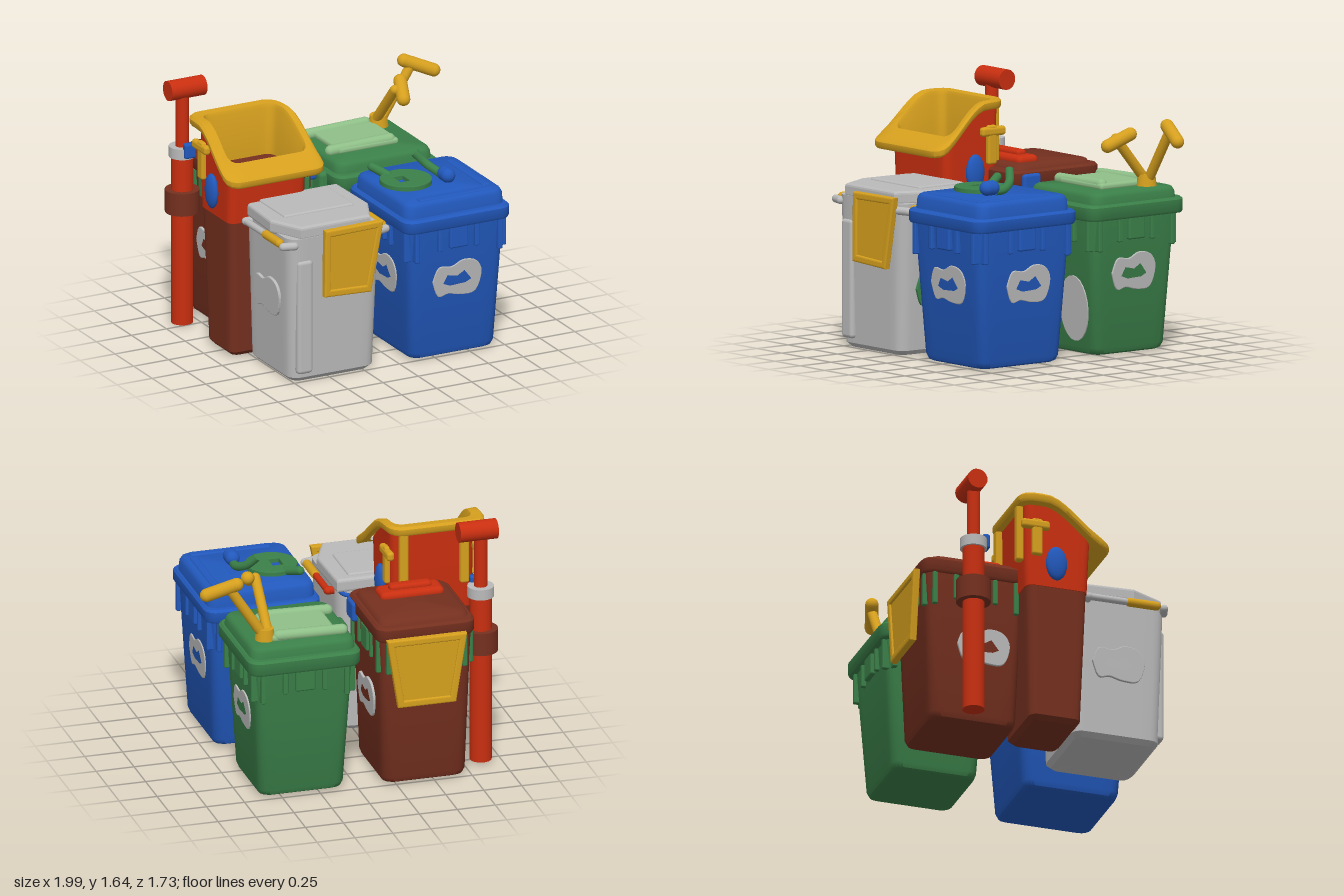
import * as THREE from 'three';
import { toCreasedNormals } from 'three/addons/utils/BufferGeometryUtils.js';
import { RoundedBoxGeometry } from 'three/addons/geometries/RoundedBoxGeometry.js';

const colours = {
  blue: 0x2259bd, green: 0x3b8049, paleGreen: 0x8fbf88, brown: 0x75301f,
  red: 0xc92f10, yellow: 0xd6a01e, grey: 0xbababa,
};

export function createModel() {
  const model = new THREE.Group();
  const mats = {};
  for (const [name, color] of Object.entries(colours)) {
    mats[name] = new THREE.MeshStandardMaterial({ color });
    mats[name].name = name;
  }
  const add = (name, geo, mat, x = 0, y = 0, z = 0, parent = model) => {
    const m = new THREE.Mesh(geo, mats[mat]);
    m.name = name;
    m.position.set(x, y, z);
    parent.add(m);
    return m;
  };
  const box = (name, mat, [x0, x1], [y0, y1], [z0, z1], r = 0.012, parent = model) =>
    add(name, new RoundedBoxGeometry(x1 - x0, y1 - y0, z1 - z0, 2, r), mat,
      (x0 + x1) / 2, (y0 + y1) / 2, (z0 + z1) / 2, parent);
  const V = (p) => new THREE.Vector3(...p);
  // round-ended rod between two points
  const rod = (name, mat, a, b, r) => {
    const A = V(a), B = V(b), d = B.clone().sub(A);
    const m = add(name, new THREE.CapsuleGeometry(r, d.length(), 6, 16), mat);
    m.position.copy(A).add(B).multiplyScalar(0.5);
    m.quaternion.setFromUnitVectors(new THREE.Vector3(0, 1, 0), d.normalize());
    return m;
  };
  const tube = (name, mat, pts, r) =>
    add(name, new THREE.TubeGeometry(new THREE.CatmullRomCurve3(pts.map(V)), 16, r, 10), mat);

  // outline of a rounded rectangle in x and z, with points along the sides
  const outline = (w, d, r) => {
    const pts = [];
    const corners = [[1, 1], [-1, 1], [-1, -1], [1, -1]];
    corners.forEach(([sx, sz], c) => {
      const ox = sx * (w / 2 - r), oz = sz * (d / 2 - r);
      for (let i = 0; i <= 4; i++) {
        const a = (c + i / 4) * Math.PI / 2;
        pts.push([ox + r * Math.cos(a), oz + r * Math.sin(a)]);
      }
      const [nx, nz] = corners[(c + 1) % 4], a = (c + 1) * Math.PI / 2, p = pts[pts.length - 1];
      const q = [nx * (w / 2 - r) + r * Math.cos(a), nz * (d / 2 - r) + r * Math.sin(a)];
      for (let i = 1; i < 8; i++) pts.push([p[0] + (q[0] - p[0]) * i / 8, p[1] + (q[1] - p[1]) * i / 8]);
    });
    return pts;
  };
  // skin over rings [y or y(z), width, depth, radius, centre x, centre z]
  const loft = (rings, { bottom = true, top = true, skew = 0 } = {}) => {
    const pos = [], idx = [];
    rings.forEach(([y, w, d, r, cx, cz]) => {
      for (const [px, pz] of outline(w, d, r)) {
        const z = cz + pz;
        pos.push(cx + px + skew * pz * (px / w + 0.5), typeof y === 'function' ? y(z) : y, z);
      }
    });
    const n = pos.length / 3 / rings.length;
    for (let k = 0; k < rings.length - 1; k++) for (let i = 0; i < n; i++) {
      const a = k * n + i, b = k * n + (i + 1) % n;
      idx.push(a, a + n, b, b, a + n, b + n);
    }
    const cap = (k, up) => {
      const c = pos.length / 3, [y, , , , cx, cz] = rings[k];
      pos.push(cx, typeof y === 'function' ? y(cz) : y, cz);
      for (let i = 0; i < n; i++) {
        const a = k * n + i, b = k * n + (i + 1) % n;
        if (up) idx.push(c, b, a); else idx.push(c, a, b);
      }
    };
    if (bottom) cap(0, false);
    if (top) cap(rings.length - 1, true);
    const g = new THREE.BufferGeometry();
    g.setAttribute('position', new THREE.Float32BufferAttribute(pos, 3));
    g.setIndex(idx);
    return toCreasedNormals(g, 0.7);
  };

  // tapering bin body, collar and lid; b = bottom, t = top, l = collar sizes
  const bin = (name, mat, cx, cz, b, t, l, y0, y1, y2) => {
    const [bw, bd] = b, [tw, td] = t, [lw, ld] = l;
    add(name + 'Body', loft([[0.01, bw - 0.07, bd - 0.07, 0.05, cx, cz], [0.022, bw - 0.025, bd - 0.025, 0.06, cx, cz],
      [0.055, bw, bd, 0.06, cx, cz], [y0 + 0.02, tw, td, 0.06, cx, cz]]), mat);
    add(name + 'Collar', loft([[y0, lw - 0.02, ld - 0.02, 0.07, cx, cz], [y0 + 0.015, lw, ld, 0.08, cx, cz],
      [y1 - 0.015, lw, ld, 0.08, cx, cz], [y1, lw - 0.03, ld - 0.03, 0.07, cx, cz]]), mat);
    add(name + 'Lid', loft([[y1 - 0.01, lw - 0.05, ld - 0.09, 0.07, cx, cz], [y2 - 0.03, lw - 0.06, ld - 0.1, 0.07, cx, cz],
      [y2 - 0.008, lw - 0.08, ld - 0.12, 0.07, cx, cz], [y2, lw - 0.11, ld - 0.15, 0.06, cx, cz]]), mat);
  };
  // ribs and a grip block under the collar on all four sides
  const ribs = (name, mat, cx, cz, tw, td, y) => {
    for (let s = 0; s < 4; s++) {
      const g = new THREE.Group();
      g.name = name + 'Ribs';
      g.position.set(cx, 0, cz);
      g.rotation.y = s * Math.PI / 2;
      const f = (s % 2 ? tw : td) / 2, h = (s % 2 ? td : tw) / 2;
      for (const x of [-h + 0.05, -0.13, 0.13, h - 0.05]) {
        const low = y - (Math.abs(x) > 0.2 ? 0.2 : 0.15);
        box(name + 'Rib', mat, [x - 0.016, x + 0.016], [low, y + 0.02], [f - 0.04, f + 0.018], 0.008, g);
      }
      box(name + 'Grip', mat, [-0.065, 0.065], [y - 0.14, y + 0.02], [f - 0.04, f + 0.02], 0.012, g);
      model.add(g);
    }
  };
  // looped sorting sign, lying on a side of a bin
  const sign = (mat, x, y, z, turn, lean) => {
    const s = new THREE.Shape(), hole = new THREE.Path();
    const p = [[-0.17, 0.0], [-0.13, 0.09], [-0.04, 0.085], [0.04, 0.12], [0.13, 0.1], [0.17, 0.02],
      [0.13, -0.1], [0.03, -0.11], [-0.06, -0.09], [-0.13, -0.1]].map(([a, b]) => new THREE.Vector2(a, b));
    s.setFromPoints(new THREE.SplineCurve([...p, p[0]]).getPoints(40));
    hole.setFromPoints([[-0.1, -0.02], [-0.07, 0.035], [0.0, 0.02], [0.05, 0.05], [0.1, -0.015], [0.06, -0.035], [-0.05, -0.04]]
      .map(([a, b]) => new THREE.Vector2(a, b)));
    s.holes.push(hole);
    const g = new THREE.ExtrudeGeometry(s, { depth: 0.02, bevelSize: 0.005, bevelThickness: 0.005, bevelSegments: 2 });
    const m = add('sortingSign', g, mat, x, y, z);
    m.rotation.set(lean, turn, 0, 'YXZ');
  };
  const E = Math.PI / 2;

  // blue bin
  bin('blueBin', 'blue', 0.375, 0.45, [0.61, 0.64], [0.69, 0.76], [0.76, 0.82], 0.89, 0.98, 1.075);
  ribs('blueBin', 'blue', 0.375, 0.45, 0.69, 0.76, 0.89);
  sign('grey', 0.38, 0.53, 0.785, 0, 0.065);
  sign('grey', 0.685, 0.53, 0.42, E, 0.045);
  sign('grey', 0.065, 0.53, 0.45, -E, 0.045);
  box('lidRidge', 'blue', [0.13, 0.66], [1.06, 1.084], [0.72, 0.78]);
  box('lidRidge', 'blue', [0.62, 0.675], [1.06, 1.084], [0.2, 0.7]);
  const ring = new THREE.Shape().absarc(0, 0, 0.16, 0, Math.PI * 2);
  ring.holes.push(new THREE.Path().setFromPoints([[-0.07, -0.06], [-0.07, 0.06], [0.01, 0.06], [0.01, -0.06]]
    .map(([a, b]) => new THREE.Vector2(a, b))));
  const disc = add('lidRing', new THREE.ExtrudeGeometry(ring, { depth: 0.035, bevelSize: 0.006, bevelThickness: 0.006, curveSegments: 24 }),
    'green', 0.22, 1.065, 0.42);
  disc.rotation.x = -E;
  rod('lidKnob', 'green', [0.16, 1.09, 0.29], [0.1, 1.125, 0.19], 0.028);
  tube('lidHorn', 'green', [[0.45, 1.1, 0.49], [0.45, 1.105, 0.42], [0.41, 1.14, 0.34], [0.35, 1.21, 0.29]], 0.028);
  rod('lidBall', 'blue', [0.45, 1.125, 0.51], [0.45, 1.125, 0.55], 0.048);

  // green bin
  bin('greenBin', 'green', 0.365, -0.455, [0.56, 0.57], [0.65, 0.68], [0.74, 0.77], 0.88, 0.98, 1.05);
  ribs('greenBin', 'green', 0.365, -0.455, 0.65, 0.68, 0.88);
  sign('grey', 0.655, 0.53, -0.45, E, 0.05);
  const patch = new THREE.Shape().absellipse(0, 0, 0.14, 0.21, 0, Math.PI * 2);
  const thin = new THREE.ExtrudeGeometry(patch, { depth: 0.008, bevelEnabled: false });
  add('frontPatch', thin, 'grey', 0.46, 0.3, -0.148).rotation.x = 0.06;
  box('sideLatch', 'green', [-0.05, 0.04], [0.7, 0.97], [-0.38, -0.22], 0.03);
  box('lidPanel', 'paleGreen', [0.12, 0.55], [1.04, 1.085], [-0.69, -0.29], 0.02);
  for (const z of [-0.66, -0.33]) rod('lidPanelRail', 'paleGreen', [0.08, 1.065, z], [0.5, 1.075, z], 0.036);

  // twin yellow levers
  add('leverBase', new THREE.CylinderGeometry(0.055, 0.065, 0.08, 20), 'yellow', 0.58, 1.085, -0.63);
  rod('leverArm', 'yellow', [0.6, 1.09, -0.63], [0.82, 1.43, -0.63], 0.032);
  rod('leverArm', 'yellow', [0.56, 1.09, -0.63], [0.57, 1.37, -0.39], 0.032);
  rod('leverHead', 'yellow', [0.77, 1.45, -0.645], [0.95, 1.375, -0.585], 0.043);
  rod('leverHead', 'yellow', [0.59, 1.33, -0.31], [0.64, 1.4, -0.45], 0.043);

  // brown bin
  bin('brownBin', 'brown', -0.435, -0.475, [0.55, 0.58], [0.61, 0.65], [0.65, 0.7], 1.0, 1.1, 1.13);
  ribs('brownBin', 'green', -0.435, -0.475, 0.6, 0.64, 0.98);
  sign('grey', -0.155, 0.53, -0.47, E, 0.03);
  sign('grey', -0.715, 0.53, -0.42, -E, 0.03);
  box('lidHandle', 'red', [-0.67, -0.25], [1.1, 1.17], [-0.43, -0.265], 0.034);
  box('lidHandleGrip', 'red', [-0.6, -0.32], [1.15, 1.2], [-0.385, -0.31], 0.024);
  box('sideClip', 'blue', [-0.15, -0.09], [0.95, 1.08], [-0.32, -0.18], 0.02);

  // rimmed yellow boards, front and back
  const board = (name, corners, z) => {
    const g = new THREE.Group();
    g.name = name;
    g.position.z = z;
    const pts = corners.map(([x, y]) => new THREE.Vector2(x, y));
    const mid = pts.reduce((a, p) => a.add(p), new THREE.Vector2()).divideScalar(4);
    const rim = new THREE.Shape(pts);
    const inner = pts.map((p) => p.clone().lerp(mid, 0.1));
    rim.holes.push(new THREE.Path(inner));
    const bevel = { bevelSize: 0.012, bevelThickness: 0.008, bevelSegments: 3 };
    add(name + 'Rim', new THREE.ExtrudeGeometry(rim, { depth: 0.03, ...bevel }), 'yellow', 0, 0, -0.015, g);
    add(name + 'Plate', new THREE.ExtrudeGeometry(new THREE.Shape(pts), { depth: 0.02, bevelEnabled: false }), 'yellow', 0, 0, -0.01, g);
    model.add(g);
  };
  board('frontBoard', [[-0.56, 0.58], [-0.25, 0.565], [-0.165, 1.005], [-0.555, 1.0]], 0.805);
  board('backBoard', [[-0.6, 0.58], [-0.24, 0.58], [-0.17, 1.02], [-0.67, 1.02]], -0.845);

  // tall bin with an open sloping hopper
  const h = (off) => (z) => 1.26 + off + 0.27 * THREE.MathUtils.smoothstep((0.36 - z) / 0.45, 0, 1);
  const tx = -0.655;
  add('tallBody', loft([[0.01, 0.42, 0.28, 0.04, tx, 0.01], [0.04, 0.48, 0.34, 0.05, tx, 0.01], [0.92, 0.53, 0.4, 0.05, tx, 0.01]]), 'brown');
  add('hopperWall', loft([[0.92, 0.54, 0.41, 0.05, tx, 0.01], [1.15, 0.545, 0.43, 0.05, tx, 0.01],
    [h(-0.05), 0.55, 0.44, 0.05, tx, 0.01]], { top: false }), 'red');
  add('hopperLip', loft([[h(-0.06), 0.54, 0.43, 0.05, tx, 0.01], [h(-0.06), 0.65, 0.59, 0.08, -0.665, 0.045],
    [h(-0.045), 0.67, 0.61, 0.09, -0.665, 0.045], [h(-0.015), 0.67, 0.61, 0.09, -0.665, 0.045],
    [h(0), 0.64, 0.58, 0.08, -0.665, 0.045], [h(-0.005), 0.54, 0.4, 0.06, tx, 0.012],
    [h(-0.03), 0.52, 0.38, 0.05, tx, 0.012], [1.18, 0.5, 0.37, 0.05, tx, 0.01]], { bottom: false, top: false, skew: 0.14 }), 'yellow');
  add('hopperFloor', loft([[1.17, 0.52, 0.39, 0.05, tx, 0.01], [1.19, 0.52, 0.39, 0.05, tx, 0.01]]), 'brown');
  for (const s of [-1, 1]) {
    const x = tx + s * 0.285;
    add('sideKnob', new THREE.SphereGeometry(1, 20, 14), 'blue', x, 1.08, -0.005).scale.set(0.035, 0.115, 0.07);
    box('sideStrap', 'yellow', [x - 0.02, x + 0.02], [1.12, 1.37], [-0.17, -0.1], 0.015);
    box('sideStrapTop', 'yellow', [x - 0.025, x + 0.025], [1.3, 1.36], [-0.24, -0.05], 0.02);
    box('backStrap', 'yellow', [tx + s * 0.2 - 0.03, tx + s * 0.2 + 0.03], [1.1, 1.5], [-0.25, -0.2], 0.015);
  }

  // post with a hammer-like head
  const post = (name, mat, r, y0, y1) =>
    add(name, new THREE.CylinderGeometry(r, r, y1 - y0, 24), mat, -0.87, (y0 + y1) / 2, -0.535);
  post('post', 'red', 0.07, 0.015, 1.14);
  post('postCollar', 'brown', 0.11, 0.76, 0.91);
  post('postCap', 'grey', 0.085, 1.13, 1.2);
  post('postStem', 'red', 0.042, 1.18, 1.58);
  box('postClip', 'blue', [-0.9, -0.82], [1.14, 1.24], [-0.48, -0.43], 0.015);
  add('postHead', new THREE.CylinderGeometry(0.065, 0.065, 0.25, 24), 'red', -0.845, 1.58, -0.54).rotation.z = E;

  // grey bin with a narrowing lid
  add('greyBody', loft([[0.0, 0.54, 0.52, 0.06, -0.47, 0.46], [0.03, 0.6, 0.58, 0.07, -0.47, 0.46],
    [0.97, 0.66, 0.62, 0.08, -0.465, 0.465]]), 'grey');
  const top = new THREE.Shape([[-0.78, -0.17], [-0.15, -0.17], [-0.14, -0.55], [-0.23, -0.75], [-0.7, -0.75], [-0.8, -0.55]]
    .map(([a, b]) => new THREE.Vector2(a, b)));
  add('greyLid', new THREE.ExtrudeGeometry(top, { depth: 0.05, bevelSize: 0.02, bevelThickness: 0.02, bevelSegments: 3 }), 'grey', 0, 0.975, 0).rotation.x = -E;
  box('greyLidPanel', 'grey', [-0.72, -0.22], [1.02, 1.058], [0.2, 0.56], 0.015);
  box('frontRib', 'grey', [-0.74, -0.63], [0.06, 0.82], [0.72, 0.785], 0.025);
  for (const x of [-0.83, -0.1]) {
    rod('sideHandle', 'yellow', [x, 0.94, 0.52], [x, 0.94, 0.7], 0.028);
    rod('sideRod', x < -0.5 ? 'grey' : 'red', [x, 0.94, 0.24], [x, 0.94, 0.5], 0.022);
    rod('rodEnd', 'grey', [x, 0.93, 0.75], [x < -0.5 ? -0.76 : -0.17, 0.93, 0.77], 0.026);
    rod('rodRoot', x < -0.5 ? 'grey' : 'red', [x, 0.94, 0.25], [x < -0.5 ? -0.76 : -0.17, 0.94, 0.25], 0.026);
  }
  tube('backLoop', 'blue', [[-0.36, 0.95, 0.1], [-0.25, 0.95, 0.09], [-0.18, 0.95, 0.13], [-0.16, 0.95, 0.22]], 0.014);
  sign('grey', -0.775, 0.52, 0.46, -E, 0.03);
  const badge = add('sidePatch', thin, 'paleGreen', -0.157, 0.42, 0.47);
  badge.rotation.set(0.03, E, 0, 'YXZ');
  sign('green', -0.165, 0.42, 0.47, E, 0.03);
  add('sidePatchDot', new THREE.SphereGeometry(1, 16, 10), 'blue', -0.145, 0.43, 0.47).scale.set(0.012, 0.04, 0.06);
  return model;
}
